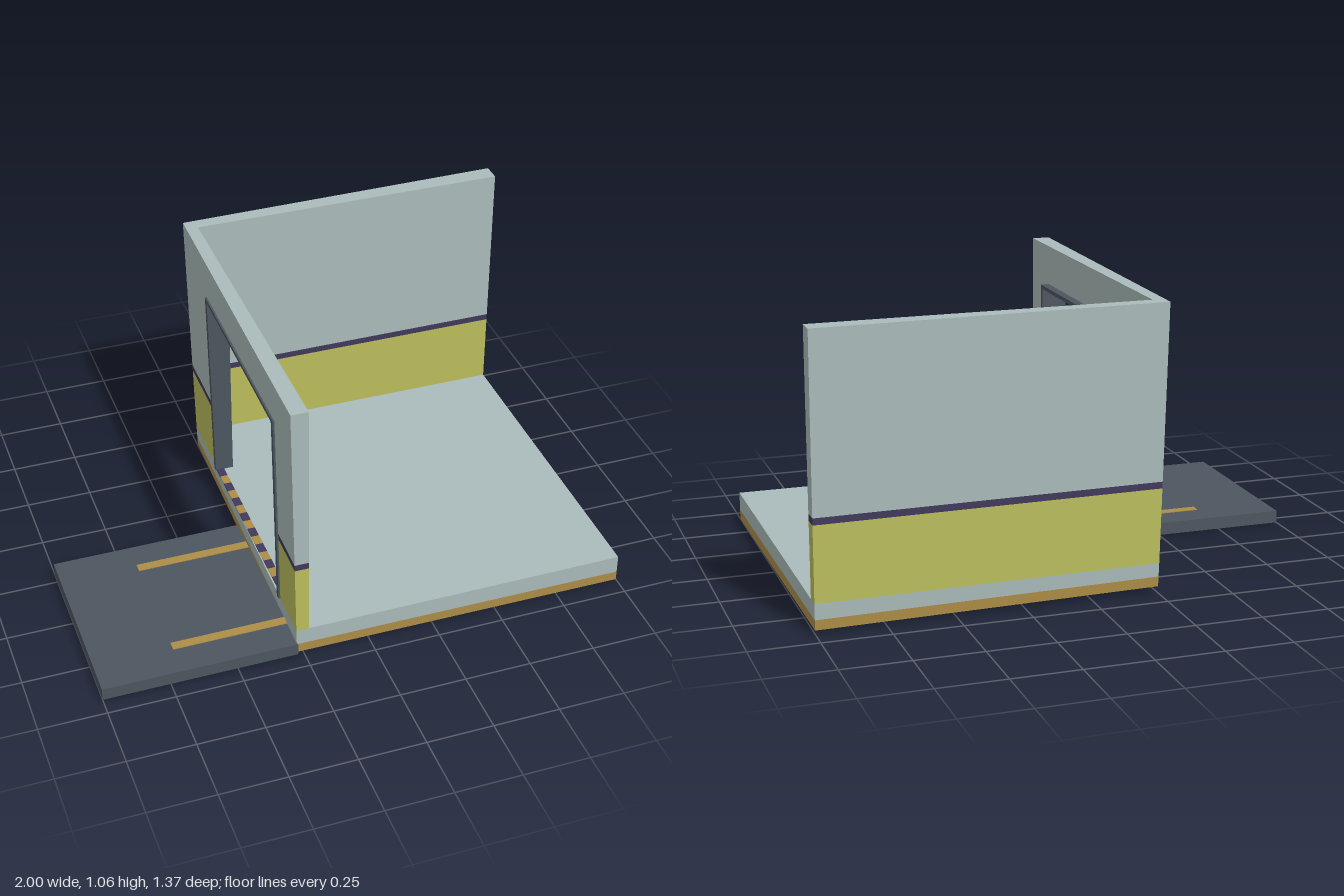
import * as THREE from 'three';

const mat = (name, color) => {
  const m = new THREE.MeshStandardMaterial({ color });
  m.name = name;
  return m;
};

// Nominal planes of the outer shell; vertices on them are moved to slightly skewed planes
const LEFT = -0.27, BACK = -0.66, FRAME = -0.28, RIGHT = 1, FRONT = 0.675;
const near = (a, b) => Math.abs(a - b) < 1e-4;
const outerX = (y, z) => -0.255 - 0.019 * y - 0.015 * (z - BACK);
const outerZ = (x, y) => -0.645 - 0.019 * y - 0.0157 * (x - LEFT);
const baseLift = (x, z) => 0.006 * (RIGHT - x) + 0.0095 * (FRONT - z);

function skewShell(geo) {
  const p = geo.attributes.position;
  for (let i = 0; i < p.count; i++) {
    const x = p.getX(i), y = p.getY(i), z = p.getZ(i);
    let nx = x, ny = y, nz = z;
    if (near(x, LEFT)) nx = outerX(y, z);
    if (near(x, FRAME)) nx = outerX(y, z) - 0.007;
    if (near(z, BACK)) nz = outerZ(x, y);
    if (y < 0.05) ny = y + baseLift(x, z);
    p.setXYZ(i, nx, ny, nz);
  }
  geo.computeVertexNormals();
  return geo;
}

// Box given by its limits
function box(parent, name, material, [x0, x1], [y0, y1], [z0, z1], skew = true) {
  const geo = new THREE.BoxGeometry(x1 - x0, y1 - y0, z1 - z0);
  geo.translate((x0 + x1) / 2, (y0 + y1) / 2, (z0 + z1) / 2);
  const mesh = new THREE.Mesh(skew ? skewShell(geo) : geo, material);
  mesh.name = name;
  parent.add(mesh);
  return mesh;
}

export function createModel() {
  const model = new THREE.Group();
  model.name = 'roomCorner';
  const plaster = mat('paleGreyGreen', 0xaabbba);
  const olive = mat('oliveYellow', 0xbbbe5c);
  const purple = mat('darkPurple', 0x41395b);
  const gold = mat('ochre', 0xad8d47);
  const slate = mat('slate', 0x4d565f);

  // Floor slab on its ochre base
  const floor = new THREE.Group();
  floor.name = 'floor';
  model.add(floor);
  box(floor, 'floorBase', gold, [LEFT, RIGHT], [0, 0.037], [BACK, FRONT]);
  box(floor, 'floorSlab', plaster, [LEFT, RIGHT], [0.037, 0.108], [BACK, FRONT]);

  // Walls in horizontal colour bands, with a doorway in the side wall
  const inX = -0.23, inZ = -0.613;
  const doorBack = -0.35, doorFront = 0.475, doorTop = 0.9, wallTop = 1.06;
  const bands = [
    ['lowerWall', olive, 0.108, 0.387],
    ['wallStripe', purple, 0.387, 0.412],
    ['upperWall', plaster, 0.412, wallTop],
  ];
  const walls = new THREE.Group();
  walls.name = 'walls';
  model.add(walls);
  for (const [name, m, y0, y1] of bands) {
    box(walls, name + 'Back', m, [LEFT, RIGHT], [y0, y1], [BACK, inZ]);
    box(walls, name + 'BehindDoor', m, [LEFT, inX], [y0, y1], [inZ, doorBack]);
    box(walls, name + 'BeforeDoor', m, [LEFT, inX], [y0, y1], [doorFront, FRONT]);
  }
  box(walls, 'wallOverDoor', plaster, [LEFT, inX], [doorTop, wallTop], [doorBack, doorFront]);

  // Door frame standing proud of both wall faces
  const frame = new THREE.Group();
  frame.name = 'doorFrame';
  model.add(frame);
  const frameX = [FRAME, -0.198];
  box(frame, 'jambBack', slate, frameX, [0.108, 0.908], [-0.36, -0.338]);
  box(frame, 'jambFront', slate, frameX, [0.108, 0.908], [0.464, 0.485]);
  box(frame, 'doorHead', slate, frameX, [0.893, 0.908], [-0.338, 0.464]);

  // Warning strip across the threshold
  const strip = new THREE.Group();
  strip.name = 'thresholdStrip';
  model.add(strip);
  const dashes = 16, step = (0.464 + 0.338) / dashes;
  for (let i = 0; i < dashes; i++) {
    const z = -0.338 + i * step;
    box(strip, 'thresholdDash', i % 2 ? gold : purple,
      [-0.266, -0.236], [0.107, 0.112], [z, z + step], false);
  }

  // Outside platform with two painted lines
  const platform = new THREE.Group();
  platform.name = 'platform';
  model.add(platform);
  box(platform, 'platformSlab', slate, [-1, -0.272], [0, 0.048], [-0.05, 0.68], false);
  for (const z of [0.06, 0.525]) {
    box(platform, 'platformLine', gold, [-0.706, -0.272], [0.046, 0.051], [z, z + 0.036], false);
  }
  return model;
}
